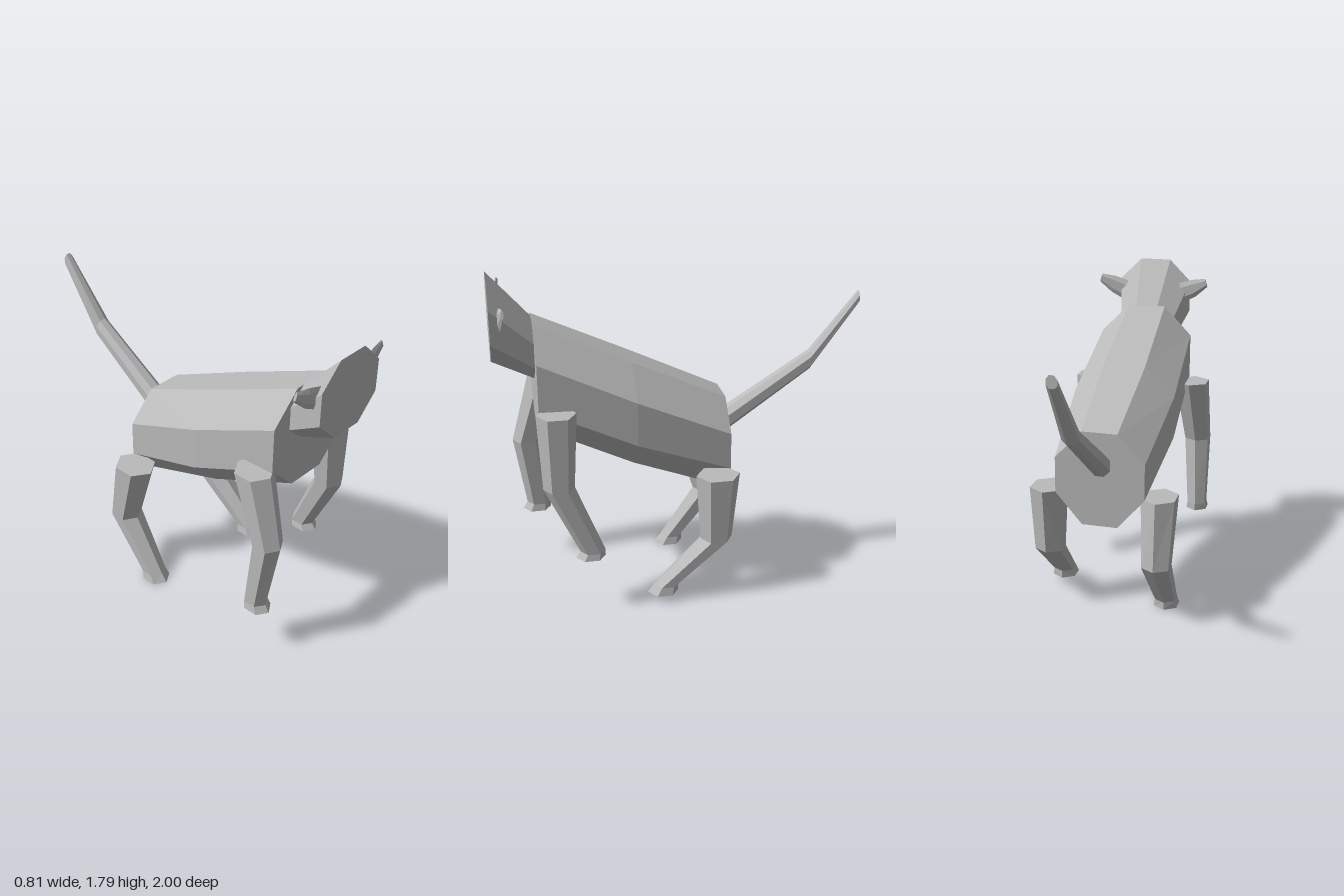
import * as THREE from 'three';

const fur = new THREE.MeshStandardMaterial({ color: 0xbababa, flatShading: true, name: 'greyFur' });

// Closed skin through rings of equal point count, with flat end caps.
function loft(name, rings) {
  const n = rings[0].length, last = rings.length - 1;
  const pos = rings.flat(2), idx = [];
  for (let r = 0; r < last; r++) {
    for (let i = 0; i < n; i++) {
      const a = r * n + i, b = r * n + (i + 1) % n;
      idx.push(a, b, b + n, a, b + n, a + n);
    }
  }
  for (let i = 1; i < n - 1; i++) {
    idx.push(0, i + 1, i, last * n, last * n + i, last * n + i + 1);
  }
  // Turn the faces outward if the enclosed volume is negative
  const p = (i) => new THREE.Vector3(...pos.slice(i * 3, i * 3 + 3));
  let volume = 0;
  for (let i = 0; i < idx.length; i += 3) volume += p(idx[i]).dot(p(idx[i + 1]).cross(p(idx[i + 2])));
  if (volume < 0) idx.reverse();
  let geo = new THREE.BufferGeometry();
  geo.setAttribute('position', new THREE.Float32BufferAttribute(pos, 3));
  geo.setIndex(idx);
  geo = geo.toNonIndexed();
  geo.computeVertexNormals();
  const mesh = new THREE.Mesh(geo, fur);
  mesh.name = name;
  return mesh;
}

// Upright octagon at depth z: half width, half flat, then bottom-to-top heights
const octagon = ([z, w, f, bottom, low, high, top]) => [
  [f, top, z], [w, high, z], [w, low, z], [f, bottom, z],
  [-f, bottom, z], [-w, low, z], [-w, high, z], [-f, top, z],
];

// Level hexagon with its points along z
const hexagon = ([y, x, half, zBack, zFront], side) => {
  const c = (zBack + zFront) / 2, q = (zFront - zBack) / 4;
  return [
    [x, zFront], [x + half, c + q], [x + half, c - q],
    [x, zBack], [x - half, c - q], [x - half, c + q],
  ].map(([px, pz]) => [px * side, y, pz]);
};

// Thin hexagonal ear section, its upper end pushed outward
const earSection = ([x, y, z, h, thick, lean], side) => [
  [0, 1], [1, 0.5], [1, -0.5], [0, -1], [-1, -0.5], [-1, 0.5],
].map(([dz, dy]) => [(x - dy * lean) * side, y + dy * h, z + dz * thick]);

export function createModel() {
  const model = new THREE.Group();
  model.name = 'animal';

  model.add(loft('body', [
    [0.78, 0.27, 0.11, 0.98, 1.14, 1.385, 1.55],
    [0.27, 0.29, 0.12, 0.74, 0.91, 1.15, 1.315],
    [-0.24, 0.25, 0.10, 0.545, 0.72, 0.92, 1.08],
  ].map(octagon)));

  model.add(loft('head', [
    [1.0, 0.215, 0.09, 1.36, 1.485, 1.665, 1.79],
    [0.78, 0.155, 0.065, 1.245, 1.33, 1.46, 1.55],
  ].map(octagon)));

  model.add(loft('tail', [
    [-0.24, 0.06, 0.025, 0.835, 0.87, 0.93, 0.965],
    [-0.735, 0.046, 0.019, 1.18, 1.205, 1.255, 1.28],
    [-1.0, 0.028, 0.012, 1.54, 1.555, 1.585, 1.605],
  ].map(octagon)));

  for (const [side, label] of [[1, 'left'], [-1, 'right']]) {
    model.add(loft(label + 'Ear', [
      [0.165, 1.6, 0.948, 0.058, 0.012, 0.015],
      [0.25, 1.635, 0.944, 0.05, 0.011, 0.012],
      [0.326, 1.673, 0.935, 0.024, 0.007, 0.008],
    ].map((s) => earSection(s, side))));
  }

  // Legs: sections from top, knee, ankle to sole
  const legs = [
    ['leftFrontLeg', 1, [[1.13, 0.305, 0.09, 0.59, 0.8], [0.72, 0.32, 0.07, 0.615, 0.78],
      [0.345, 0.335, 0.053, 0.465, 0.6], [0.31, 0.335, 0.06, 0.465, 0.625]]],
    ['rightFrontLeg', -1, [[1.13, 0.305, 0.09, 0.59, 0.8], [0.74, 0.325, 0.07, 0.735, 0.9],
      [0.335, 0.34, 0.053, 0.7, 0.835], [0.295, 0.34, 0.06, 0.7, 0.86]]],
    ['leftBackLeg', 1, [[0.72, 0.315, 0.092, -0.275, -0.035], [0.345, 0.315, 0.075, -0.235, -0.06],
      [0.09, 0.322, 0.057, 0.065, 0.2], [0.045, 0.322, 0.065, 0.065, 0.235]]],
    ['rightBackLeg', -1, [[0.72, 0.315, 0.092, -0.275, -0.035], [0.345, 0.32, 0.075, -0.325, -0.15],
      [0.045, 0.328, 0.057, -0.08, 0.05], [0, 0.328, 0.065, -0.08, 0.085]]],
  ];
  for (const [name, side, sections] of legs) {
    model.add(loft(name, sections.map((s) => hexagon(s, side))));
  }
  return model;
}
